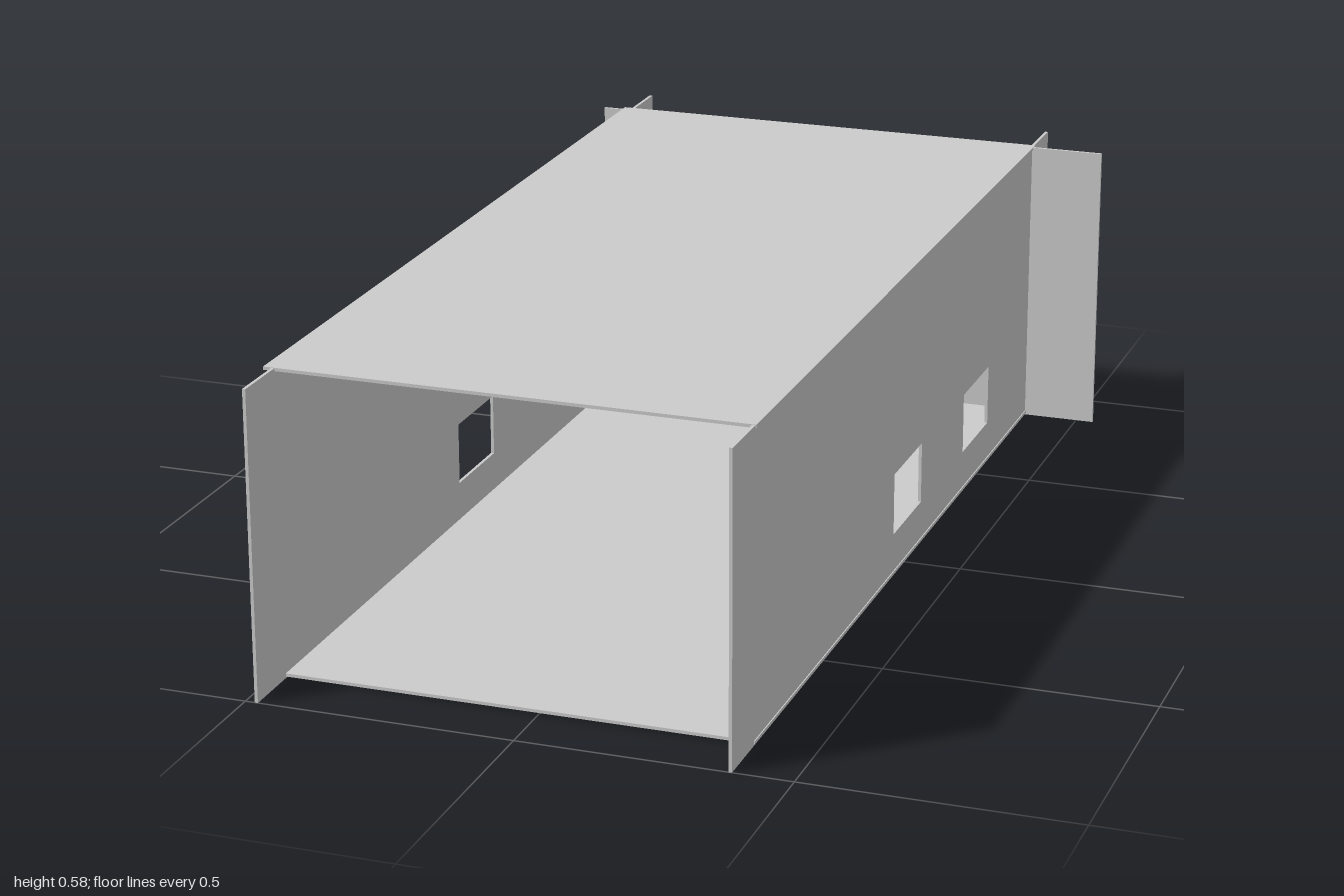
import * as THREE from 'three';

const HEIGHT = 0.575;
const THICK = 0.006;
const material = new THREE.MeshStandardMaterial({ color: 0xcccccc, flatShading: true });

// Thin rectangular sheet given by its centre and size
function sheet(name, size, centre) {
  const mesh = new THREE.Mesh(new THREE.BoxGeometry(...size), material);
  mesh.position.set(...centre);
  mesh.name = name;
  return mesh;
}

// Long upright wall in the yz plane; each opening is its [front z, back z]
function sideWall(name, x, openings) {
  const rect = (target, u0, u1, v0, v1) => {
    target.moveTo(u0, v0);
    target.lineTo(u1, v0);
    target.lineTo(u1, v1);
    target.lineTo(u0, v1);
    target.closePath();
    return target;
  };
  // Shape x runs along -z once the sheet is turned upright
  const shape = rect(new THREE.Shape(), -1, 1, 0, HEIGHT);
  for (const [front, back] of openings) {
    shape.holes.push(rect(new THREE.Path(), -front, -back, 0.083, 0.202));
  }
  const geometry = new THREE.ExtrudeGeometry(shape, { depth: THICK, bevelEnabled: false });
  geometry.translate(0, 0, -THICK / 2);
  geometry.rotateY(Math.PI / 2);
  const mesh = new THREE.Mesh(geometry, material);
  mesh.position.x = x;
  mesh.name = name;
  return mesh;
}

export function createModel() {
  const model = new THREE.Group();
  model.name = 'openBox';

  // Side walls, each with two rectangular openings
  model.add(sideWall('leftWall', 0.388, [[0.075, -0.105], [-0.395, -0.575]]));
  model.add(sideWall('rightWall', -0.479, [[0.09, -0.085], [-0.44, -0.62]]));

  // Back panel crossing both walls
  model.add(sheet('backPanel', [1.072, HEIGHT, THICK], [-0.001, HEIGHT / 2, -0.877]));

  // Top and floor, overhanging the walls slightly
  const slab = [0.89, THICK, 1.775];
  model.add(sheet('topPanel', slab, [-0.052, HEIGHT - THICK / 2 + 0.001, -0.002]));
  model.add(sheet('floorPanel', slab, [-0.052, 0.006, -0.002]));

  return model;
}
